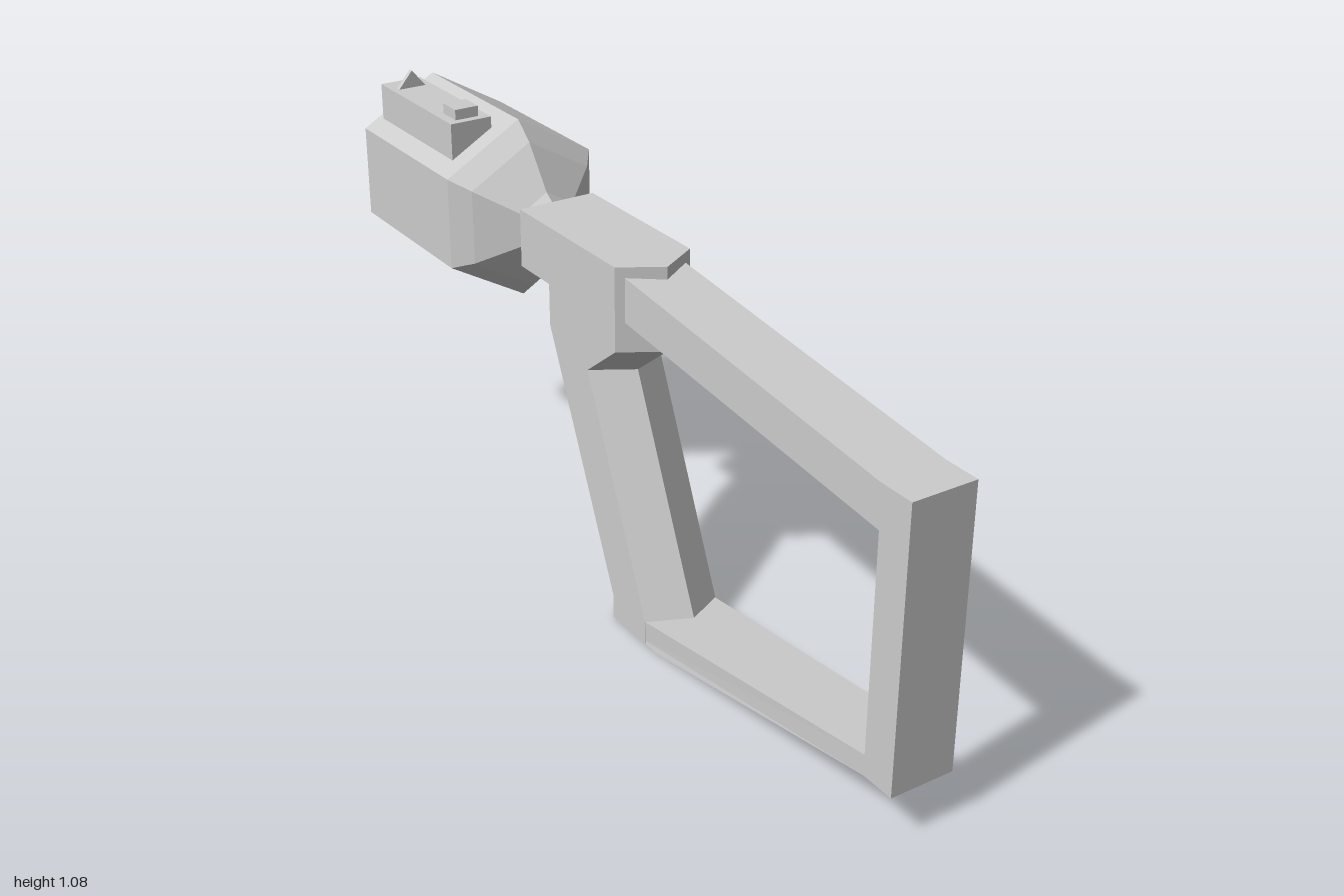
import * as THREE from 'three';

const material = new THREE.MeshStandardMaterial({ color: 0xcccccc, flatShading: true, side: THREE.DoubleSide });

function addMesh(parent, name, geometry, x = 0, y = 0, z = 0) {
  const mesh = new THREE.Mesh(geometry, material);
  mesh.name = name;
  mesh.position.set(x, y, z);
  parent.add(mesh);
  return mesh;
}

// Skins matching side outlines, listed from +x to -x, and caps both ends.
// Each outline runs along the top towards +z, then down and back.
function loft(sections) {
  const n = sections[0].length;
  const index = [];
  for (let s = 0; s < sections.length - 1; s++) {
    for (let i = 0; i < n; i++) {
      const j = (i + 1) % n;
      const a = s * n + i, b = s * n + j, c = b + n, d = a + n;
      index.push(a, d, c, a, c, b);
    }
  }
  const flat = sections[0].map((p) => new THREE.Vector2(p.z, p.y));
  const last = (sections.length - 1) * n;
  for (const tri of THREE.ShapeUtils.triangulateShape(flat, [])) {
    let [a, b, c] = tri;
    if (THREE.ShapeUtils.area([flat[a], flat[b], flat[c]]) > 0) [b, c] = [c, b];
    index.push(a, b, c, last + a, last + c, last + b);
  }
  const geometry = new THREE.BufferGeometry().setFromPoints(sections.flat());
  geometry.setIndex(index);
  const faceted = geometry.toNonIndexed();
  faceted.computeVertexNormals();
  return faceted;
}

export function createModel() {
  const model = new THREE.Group();
  model.name = 'blaster';

  // Body and grip: side outline [z, y, ridge], with a central ridge
  // pushed out along the front and rear edges
  const bodyOutline = [
    [-0.37, 0.89, 0], [0.035, 0.89, 1], [0.035, 0.69, 1], [-0.082, 0.6, 1],
    [0.155, 0.06, 1], [0.155, 0, 1], [0.02, 0, -1], [0.02, 0.06, -1],
    [-0.245, 0.65, -1], [-0.245, 0.75, -1], [-0.37, 0.75, 0],
  ];
  const bodySection = (x, push) =>
    bodyOutline.map(([z, y, ridge]) => new THREE.Vector3(x, y, z + ridge * push));
  addMesh(model, 'bodyAndGrip', loft([
    bodySection(0.097, 0), bodySection(0, 0.058), bodySection(-0.097, 0),
  ]));

  // Open stock frame: outline [z, y, half width], widening at the grip base
  const stockOutline = [
    [0, 0.87, 0.078], [0.91, 0.775, 0.078], [1, 0.775, 0.078], [1, 0.115, 0.078],
    [0.915, 0.115, 0.078], [0.2, 0, 0.096], [0.1, 0, 0.096], [0.1, 0.055, 0.096],
    [0.16, 0.06, 0.096], [0.915, 0.165, 0.078], [0.915, 0.675, 0.078], [0, 0.765, 0.078],
  ];
  const stockSection = (side) =>
    stockOutline.map(([z, y, w]) => new THREE.Vector3(side * w, y, z));
  addMesh(model, 'stockFrame', loft([stockSection(1), stockSection(-1)]));

  // Hexagonal barrel with tapered neck and recessed muzzle: [radius, distance]
  const barrelProfile = [
    [0, 0.36], [0.055, 0.36], [0.06, 0.385], [0.08, 0.415], [0.18, 0.49], [0.222, 0.54],
    [0.222, 0.975], [0.2, 1], [0.14, 1], [0.14, 0.94], [0, 0.94],
  ].map(([r, d]) => new THREE.Vector2(r, d));
  const barrel = new THREE.LatheGeometry(barrelProfile, 6);
  barrel.rotateX(-Math.PI / 2);
  addMesh(model, 'barrel', barrel, 0, 0.817, 0);

  // Sight rail with a rear block and a thin triangular front sight
  const sight = new THREE.Group();
  sight.name = 'sight';
  sight.position.set(-0.098, 1.04, 0);
  model.add(sight);
  addMesh(sight, 'sightRail', new THREE.BoxGeometry(0.106, 0.13, 0.365), 0, -0.065, -0.7725);
  addMesh(sight, 'rearSight', new THREE.BoxGeometry(0.06, 0.025, 0.06), 0, 0.0125, -0.64);
  const blade = new THREE.Shape([
    new THREE.Vector2(-0.036, 0), new THREE.Vector2(0.036, 0), new THREE.Vector2(0, 0.042),
  ]);
  addMesh(sight, 'frontSight',
    new THREE.ExtrudeGeometry(blade, { depth: 0.012, bevelEnabled: false }), 0, 0, -0.902);

  return model;
}
